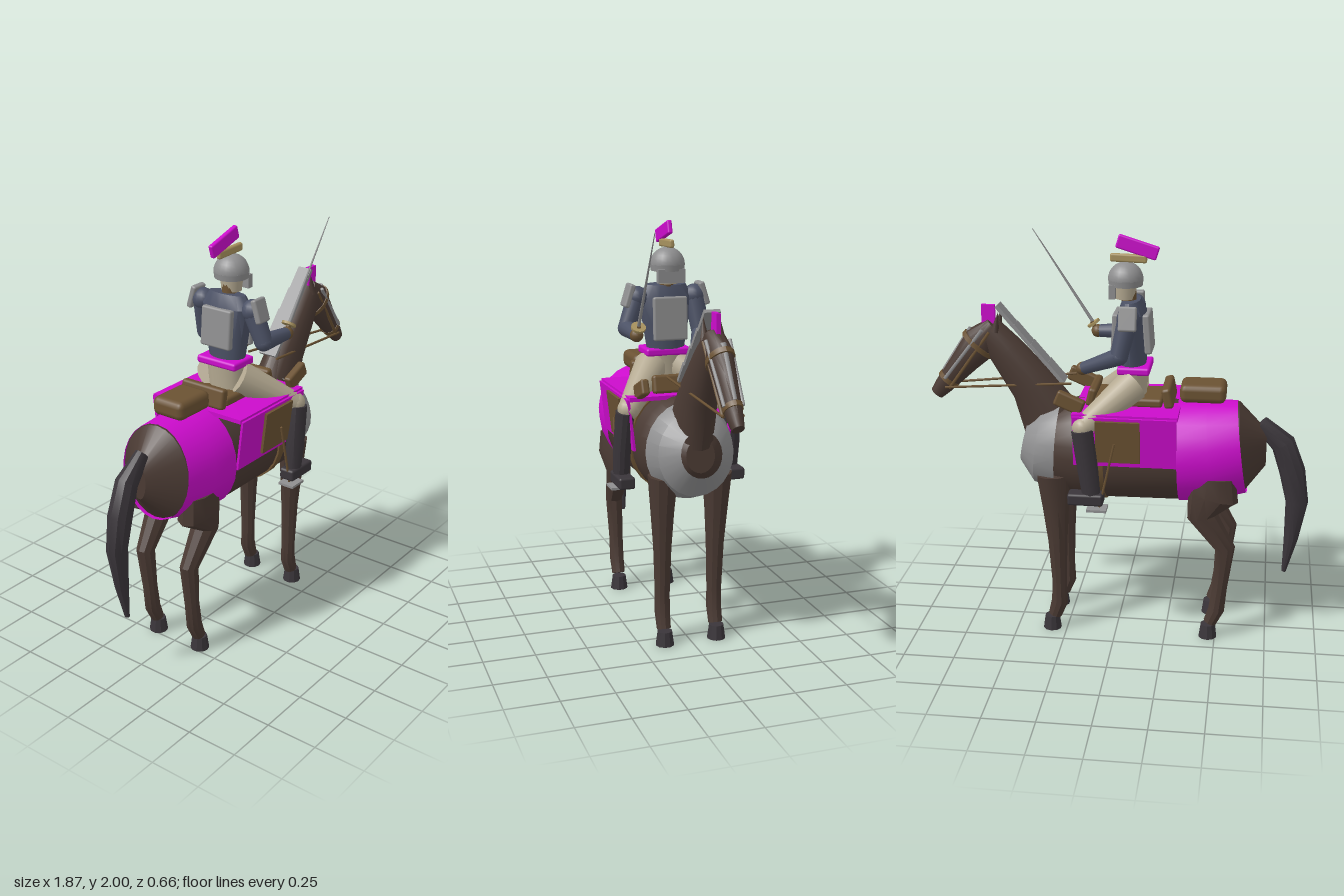
import * as THREE from 'three';
import { toCreasedNormals } from 'three/addons/utils/BufferGeometryUtils.js';
import { RoundedBoxGeometry } from 'three/addons/geometries/RoundedBoxGeometry.js';

const paint = (name, color, side = THREE.FrontSide) => {
  const m = new THREE.MeshStandardMaterial({ color, side });
  m.name = name;
  return m;
};

export function createModel() {
  const hide = paint('brown hide', 0x4a3a33), dark = paint('dark hair and boots', 0x3a353a);
  const cloth = paint('magenta cloth', 0xcc0ccc, THREE.DoubleSide);
  const steel = paint('steel', 0x8f8f90, THREE.DoubleSide);
  const leather = paint('leather', 0x6b5233), cream = paint('cream breeches', 0xb5aa92);
  const coat = paint('blue grey coat', 0x4c5266), brass = paint('brass', 0xa8925e);

  const model = new THREE.Group();
  model.name = 'mountedRider';
  const horse = new THREE.Group(), tack = new THREE.Group(), rider = new THREE.Group();
  horse.name = 'horse'; tack.name = 'tack'; rider.name = 'rider';
  model.add(horse, tack, rider);

  const put = (parent, name, geo, mat, pos = [0, 0, 0], rot = [0, 0, 0]) => {
    const m = new THREE.Mesh(geo, mat);
    m.name = name;
    m.position.set(...pos);
    m.rotation.set(...rot);
    parent.add(m);
    return m;
  };
  const box = (parent, name, mat, size, pos, rot) =>
    put(parent, name, new THREE.BoxGeometry(...size), mat, pos, rot);
  const soft = (parent, name, mat, size, pos, rot, r = 0.015) =>
    put(parent, name, new RoundedBoxGeometry(...size, 2, r), mat, pos, rot);
  const ball = (parent, name, mat, r, pos) =>
    put(parent, name, new THREE.SphereGeometry(r, 14, 10), mat, pos);

  // Tapered rod between two points
  const rod = (parent, name, mat, a, b, ra, rb = ra, sides = 14) => {
    const A = new THREE.Vector3(...a), d = new THREE.Vector3(...b).sub(A);
    const m = put(parent, name, new THREE.CylinderGeometry(rb, ra, d.length(), sides), mat);
    m.position.copy(A).addScaledVector(d, 0.5);
    m.quaternion.setFromUnitVectors(new THREE.Vector3(0, 1, 0), d.normalize());
    return m;
  };

  // Skin over oval rings: each ring is [x, y, z, in-plane radius, sideways radius]
  const loft = (parent, name, mat, rings, n = 14, caps = true) => {
    const pos = [], idx = [], last = rings.length - 1;
    rings.forEach(([x, y, z, a, b], i) => {
      const p = rings[Math.max(i - 1, 0)], q = rings[Math.min(i + 1, last)];
      const l = Math.hypot(q[0] - p[0], q[1] - p[1]);
      const ux = -(q[1] - p[1]) / l, uy = (q[0] - p[0]) / l;
      for (let j = 0; j < n; j++) {
        const t = j / n * Math.PI * 2, c = Math.cos(t) * a;
        pos.push(x + ux * c, y + uy * c, z + Math.sin(t) * b);
        if (i < last) {
          const v = i * n + j, w = i * n + (j + 1) % n;
          idx.push(v, w, v + n, w, w + n, v + n);
        }
      }
    });
    if (caps) {
      const s = pos.length / 3;
      pos.push(...rings[0].slice(0, 3), ...rings[last].slice(0, 3));
      for (let j = 0; j < n; j++) {
        const k = (j + 1) % n;
        idx.push(s, k, j, s + 1, last * n + j, last * n + k);
      }
    }
    const g = new THREE.BufferGeometry();
    g.setAttribute('position', new THREE.Float32BufferAttribute(pos, 3));
    g.setIndex(idx);
    return put(parent, name, toCreasedNormals(g, 0.55), mat);
  };

  // Horse trunk, neck, head and tail
  loft(horse, 'trunk', hide, [[-0.72, 0.975, 0, 0.09, 0.04], [-0.6, 0.975, 0, 0.225, 0.19],
    [-0.45, 0.955, 0, 0.245, 0.22], [-0.25, 0.95, 0, 0.25, 0.23], [0.2, 0.945, 0, 0.25, 0.22],
    [0.38, 0.95, 0, 0.17, 0.15], [0.45, 0.96, 0, 0.08, 0.07]], 24);
  loft(horse, 'neck', hide, [[0.32, 1.06, 0, 0.16, 0.1], [0.42, 1.25, 0, 0.115, 0.085],
    [0.55, 1.42, 0, 0.09, 0.07], [0.63, 1.52, 0, 0.07, 0.055]], 16);
  loft(horse, 'head', hide, [[0.6, 1.545, 0, 0.045, 0.045], [0.67, 1.46, 0, 0.09, 0.06],
    [0.75, 1.37, 0, 0.07, 0.05], [0.87, 1.23, 0, 0.045, 0.036], [0.905, 1.19, 0, 0.034, 0.028]]);
  loft(horse, 'tail', dark, [[-0.69, 1.1, 0, 0.04, 0.03], [-0.8, 1.0, 0, 0.06, 0.05],
    [-0.85, 0.86, 0, 0.063, 0.054], [-0.88, 0.7, 0, 0.055, 0.045],
    [-0.86, 0.5, 0, 0.035, 0.03], [-0.833, 0.32, 0, 0.011, 0.013]], 10);

  for (const s of [1, -1]) {
    const side = s > 0 ? 'left' : 'right';
    // Legs and hooves
    loft(horse, side + 'FrontLeg', hide, [[0.305, 0.84, s * 0.135, 0.085, 0.07],
      [0.297, 0.66, s * 0.135, 0.065, 0.055], [0.29, 0.48, s * 0.133, 0.048, 0.043],
      [0.285, 0.25, s * 0.132, 0.036, 0.036], [0.285, 0.15, s * 0.132, 0.042, 0.036],
      [0.31, 0.075, s * 0.132, 0.034, 0.034]], 10);
    loft(horse, side + 'HindLeg', hide, [[-0.48, 0.87, s * 0.145, 0.1, 0.07],
      [-0.475, 0.77, s * 0.145, 0.125, 0.08], [-0.425, 0.66, s * 0.14, 0.075, 0.062],
      [-0.54, 0.49, s * 0.135, 0.05, 0.043], [-0.52, 0.28, s * 0.132, 0.036, 0.036],
      [-0.505, 0.15, s * 0.132, 0.04, 0.036], [-0.475, 0.08, s * 0.132, 0.033, 0.034]], 10);
    for (const x of [0.325, -0.465])
      put(horse, side + 'Hoof', toCreasedNormals(new THREE.CylinderGeometry(0.036, 0.046, 0.07, 10), 0.5),
        dark, [x, 0.035, s * 0.132]);
    put(horse, side + 'Ear', new THREE.ConeGeometry(0.022, 0.1, 8), hide, [0.585, 1.57, s * 0.038], [0, 0, 0.2]);

    // Bridle and reins
    rod(tack, side + 'CheekPlate', steel, [0.655, 1.53, s * 0.055], [0.85, 1.28, s * 0.043], 0.009, 0.009, 6);
    rod(tack, side + 'CheekStrap', leather, [0.62, 1.52, s * 0.055], [0.83, 1.23, s * 0.042], 0.008, 0.008, 6);
    rod(tack, side + 'Rein', leather, [0.22, 1.29, s * 0.085], [0.85, 1.235, s * 0.045], 0.006, 0.006, 6);

    // Blanket sides, saddle flaps and holsters
    box(tack, side + 'BlanketSide', cloth, [0.49, 0.25, 0.012], [-0.055, 1.06, s * 0.25], [s * 0.12, 0, 0]);
    box(tack, side + 'SaddleFlap', leather, [0.21, 0.21, 0.014], [-0.025, 1.065, s * 0.264], [s * 0.12, 0, 0]);
    soft(tack, side + 'Holster', leather, [0.14, 0.075, 0.04], [0.21, 1.235, s * 0.207], [0, 0, 0.4], 0.012);
    rod(tack, side + 'StirrupLeather', leather, [-0.01, 1.06, s * 0.28], [0.06, 0.74, s * 0.285], 0.006, 0.006, 6);
    box(tack, side + 'Stirrup', steel, [0.095, 0.012, 0.085], [0.07, 0.737, s * 0.288]);

    // Rider's legs
    rod(rider, side + 'Thigh', cream, [-0.075, 1.29, s * 0.07], [0.14, 1.13, s * 0.25], 0.083, 0.052);
    ball(rider, side + 'Knee', cream, 0.053, [0.14, 1.13, s * 0.25]);
    loft(rider, side + 'Boot', dark, [[0.095, 0.77, s * 0.277, 0.043, 0.038],
      [0.115, 0.93, s * 0.277, 0.05, 0.043], [0.142, 1.12, s * 0.268, 0.052, 0.045]], 12);
    soft(rider, side + 'Foot', dark, [0.17, 0.058, 0.08], [0.125, 0.784, s * 0.278], [0, 0, 0], 0.012);
    // Shoulder guards
    soft(rider, side + 'ShoulderGuard', steel, [0.085, 0.115, 0.03], [-0.062, 1.64, s * 0.188], [-s * 0.3, 0, 0], 0.01);
  }

  // Bands around the head
  for (const [name, x, y, a, b] of [['browband', 0.685, 1.447, 0.095, 0.063], ['noseband', 0.84, 1.267, 0.056, 0.044]])
    loft(tack, name, leather, [[x - 0.008, y + 0.009, 0, a, b], [x + 0.008, y - 0.009, 0, a, b]], 14);
  rod(tack, 'facePlate', steel, [0.72, 1.525, 0], [0.865, 1.31, 0], 0.014, 0.01, 8);
  box(tack, 'headPlume', cloth, [0.065, 0.11, 0.02], [0.632, 1.59, 0]);

  // Overlapping plates on the crest of the neck
  for (let i = 0; i < 4; i++)
    box(tack, 'crestPlate', steel, [0.125, 0.018, 0.1 - i * 0.008],
      [0.305 + i * 0.08, 1.325 + i * 0.091, 0], [0, 0, 0.87]);

  // Breastplate, rump cover and girth
  loft(tack, 'breastplate', steel, [[0.29, 0.95, 0, 0.235, 0.215], [0.39, 0.955, 0, 0.2, 0.185],
    [0.465, 0.97, 0, 0.11, 0.1]], 24, false);
  loft(tack, 'rumpCover', cloth, [[-0.605, 0.975, 0, 0.229, 0.195], [-0.45, 0.955, 0, 0.251, 0.226],
    [-0.3, 0.95, 0, 0.256, 0.234]], 24, false);
  loft(tack, 'girth', leather, [[0.05, 0.946, 0, 0.258, 0.232], [0.1, 0.946, 0, 0.258, 0.23]], 24);

  // Saddle and bedroll
  box(tack, 'blanketTop', cloth, [0.5, 0.02, 0.52], [-0.055, 1.185, 0]);
  soft(tack, 'saddleSeat', leather, [0.36, 0.045, 0.23], [-0.04, 1.212, 0]);
  soft(tack, 'cantle', leather, [0.045, 0.1, 0.25], [-0.245, 1.24, 0], [0, 0, -0.2]);
  soft(tack, 'pommel', leather, [0.04, 0.09, 0.25], [0.12, 1.235, 0], [0, 0, 0.25]);
  soft(tack, 'bedroll', leather, [0.22, 0.09, 0.175], [-0.41, 1.255, 0], [0, 0, 0], 0.03);

  // Rider's body and armour
  loft(rider, 'hips', cream, [[-0.075, 1.22, 0, 0.06, 0.09], [-0.075, 1.36, 0, 0.07, 0.1]], 16);
  soft(rider, 'sash', cloth, [0.155, 0.038, 0.225], [-0.08, 1.365, 0], [0, 0, 0], 0.012);
  loft(rider, 'torso', coat, [[-0.065, 1.38, 0, 0.068, 0.095], [-0.065, 1.5, 0, 0.075, 0.115],
    [-0.065, 1.63, 0, 0.07, 0.14], [-0.06, 1.69, 0, 0.045, 0.1]], 16);
  soft(rider, 'chestPlate', steel, [0.03, 0.21, 0.17], [0.012, 1.53, 0], [0, 0, 0.05], 0.01);
  soft(rider, 'backPlate', steel, [0.035, 0.19, 0.17], [-0.142, 1.54, 0], [0, 0, -0.08], 0.01);

  // Arms: shoulder, elbow, hand
  for (const [side, sh, el, hand] of [
    ['left', [-0.06, 1.63, 0.145], [-0.05, 1.485, 0.2], [0.13, 1.478, 0.205]],
    ['right', [-0.06, 1.63, -0.145], [-0.02, 1.455, -0.165], [0.165, 1.365, -0.075]]]) {
    ball(rider, side + 'Shoulder', coat, 0.054, sh);
    rod(rider, side + 'UpperArm', coat, sh, el, 0.05, 0.043);
    ball(rider, side + 'Elbow', coat, 0.043, el);
    rod(rider, side + 'Forearm', coat, el, hand, 0.043, 0.03);
    ball(rider, side + 'Glove', leather, 0.032, hand);
  }

  // Sword
  rod(rider, 'swordGrip', leather, [0.115, 1.455, 0.2], [0.16, 1.525, 0.202], 0.01);
  rod(rider, 'swordGuard', brass, [0.147, 1.512, 0.202], [0.154, 1.522, 0.202], 0.035, 0.035, 12);
  rod(rider, 'swordBlade', steel, [0.155, 1.525, 0.202], [0.45, 1.975, 0.217], 0.009, 0.002, 6);

  // Head and helmet
  rod(rider, 'neck', leather, [-0.05, 1.66, 0], [-0.045, 1.74, 0], 0.036);
  put(rider, 'face', new THREE.CylinderGeometry(0.058, 0.048, 0.09, 16), cream, [-0.03, 1.74, 0]);
  put(rider, 'helmetDome', new THREE.SphereGeometry(0.084, 20, 8, 0, Math.PI * 2, 0, Math.PI / 2),
    steel, [-0.032, 1.785, 0]);
  put(rider, 'helmetRim', new THREE.CylinderGeometry(0.084, 0.08, 0.03, 20), steel, [-0.032, 1.772, 0]);
  box(rider, 'visor', steel, [0.03, 0.065, 0.135], [0.025, 1.735, 0]);
  soft(rider, 'helmetComb', brass, [0.175, 0.04, 0.025], [-0.045, 1.885, 0], [0, 0, 0.03], 0.01);
  soft(rider, 'helmetCrest', cloth, [0.2, 0.065, 0.025], [-0.087, 1.937, 0], [0, 0, 0.3], 0.008);

  return model;
}
